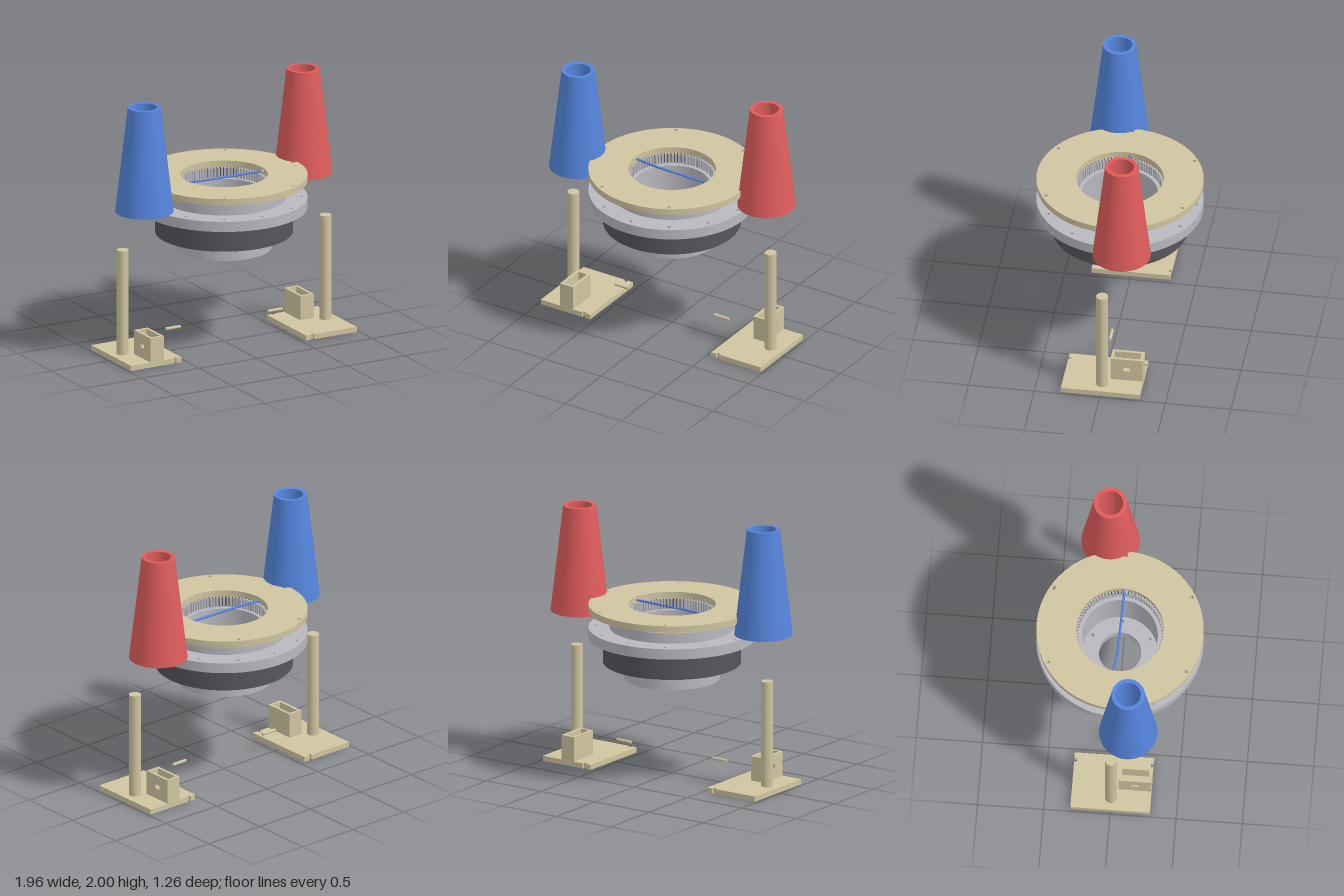
import * as THREE from 'three';
import { toCreasedNormals } from 'three/addons/utils/BufferGeometryUtils.js';

const material = (name, color, extra = {}) => {
  const m = new THREE.MeshStandardMaterial({ color, ...extra });
  m.name = name;
  return m;
};

export function createModel() {
  const beige = material('beige', 0xd0c5a0);
  const grey = material('grey', 0xb9b8be);
  const charcoal = material('charcoal', 0x55555b, { side: THREE.DoubleSide });
  const blue = material('blue', 0x5585dd);
  const red = material('red', 0xe05c5c);

  const model = new THREE.Group();
  const add = (parent, name, geometry, mat, x = 0, y = 0, z = 0) => {
    const mesh = new THREE.Mesh(geometry, mat);
    mesh.name = name;
    mesh.position.set(x, y, z);
    parent.add(mesh);
    return mesh;
  };
  const box = (parent, name, mat, x0, x1, y0, y1, z0, z1) =>
    add(parent, name, new THREE.BoxGeometry(x1 - x0, y1 - y0, z1 - z0), mat,
      (x0 + x1) / 2, (y0 + y1) / 2, (z0 + z1) / 2);

  // Flat ring with an optional circle of screw holes
  const ring = (name, mat, rOut, rIn, y0, y1, holes = 0, holeAt = 0, holeR = 0.013) => {
    const shape = new THREE.Shape().absarc(0, 0, rOut, 0, Math.PI * 2);
    shape.holes.push(new THREE.Path().absarc(0, 0, rIn, 0, Math.PI * 2, true));
    for (let i = 0; i < holes; i++) {
      const a = (i / holes) * Math.PI * 2;
      shape.holes.push(new THREE.Path().absarc(
        Math.cos(a) * holeAt, Math.sin(a) * holeAt, holeR, 0, Math.PI * 2, true));
    }
    const g = new THREE.ExtrudeGeometry(shape, { depth: y1 - y0, bevelEnabled: false, curveSegments: 48 });
    g.rotateX(-Math.PI / 2);
    return add(model, name, toCreasedNormals(g, 0.6), mat, 0, y0, 0);
  };

  // Stacked centre assembly
  ring('topPlate', beige, 0.63, 0.33, 1.27, 1.32, 6, 0.6, 0.015);
  ring('upperCollar', grey, 0.43, 0.34, 1.22, 1.27);
  ring('middleCollar', grey, 0.47, 0.335, 1.14, 1.22);
  ring('flange', grey, 0.63, 0.335, 1.06, 1.14, 12, 0.58);
  ring('darkHousing', charcoal, 0.52, 0.34, 0.87, 1.06, 6, 0.46);
  ring('cylinderWall', grey, 0.34, 0.285, 0.82, 1.19);
  ring('cylinderBase', grey, 0.36, 0.16, 0.745, 0.82, 6, 0.25);

  // Toothed bands: dark recess behind a circle of grey teeth
  const teeth = (name, rIn, rOut, y0, y1, recess) => {
    const group = new THREE.Group();
    group.name = name;
    add(group, 'slotRecess', new THREE.CylinderGeometry(recess, recess, y1 - y0, 64, 1, true),
      charcoal, 0, (y0 + y1) / 2, 0);
    const count = 80;
    const g = new THREE.BoxGeometry(rOut - rIn, y1 - y0, 0.016);
    for (let i = 0; i < count; i++) {
      const a = (i / count) * Math.PI * 2;
      const r = (rIn + rOut) / 2;
      const tooth = add(group, 'tooth', g, grey, Math.cos(a) * r, (y0 + y1) / 2, -Math.sin(a) * r);
      tooth.rotation.y = a;
    }
    model.add(group);
  };
  teeth('lowerTeeth', 0.335, 0.36, 0.82, 0.87, 0.342);
  teeth('upperTeeth', 0.312, 0.338, 1.19, 1.268, 0.333);

  // Hollow tapered spools
  const spool = (name, mat, x, z) => {
    const profile = [[0.095, 1.18], [0.22, 1.18], [0.125, 2], [0.095, 2], [0.095, 1.18]]
      .map(([r, y]) => new THREE.Vector2(r, y));
    add(model, name, toCreasedNormals(new THREE.LatheGeometry(profile, 64), 0.6), mat, x, 0, z);
  };
  spool('blueSpool', blue, -0.76, 0.12);
  spool('redSpool', red, 0.76, -0.13);

  // Threads running from the spools into the centre
  const thread = (name, mat, points) => {
    const curve = new THREE.CatmullRomCurve3(points.map(([x, z]) => new THREE.Vector3(x, 1.293, z)));
    add(model, name, new THREE.TubeGeometry(curve, 40, 0.009, 8), mat);
  };
  thread('blueThread', blue, [[-0.784, 0.146], [-0.695, 0.047], [-0.55, -0.02], [-0.33, -0.025],
    [-0.18, -0.006], [0, 0], [0.33, 0.01]]);
  thread('redThread', red, [[0.784, -0.16], [0.71, -0.05], [0.55, 0.01], [0.335, 0.02]]);
  add(model, 'threadEye', new THREE.SphereGeometry(0.014, 16, 12), grey, 0.324, 1.293, 0.02);

  // Stand: notched foot, post, open bracket and loose pin
  const stand = (name) => {
    const group = new THREE.Group();
    group.name = name;
    const foot = new THREE.Shape([[0.54, -0.3], [0.585, -0.3], [0.585, -0.28], [0.612, -0.28], [0.612, -0.3],
      [0.98, -0.3], [0.98, 0.3], [0.612, 0.3], [0.612, 0.28], [0.585, 0.28], [0.585, 0.3], [0.54, 0.3]]
      .map(([x, y]) => new THREE.Vector2(x, y)));
    const footGeo = new THREE.ExtrudeGeometry(foot, { depth: 0.04, bevelEnabled: false });
    footGeo.rotateX(-Math.PI / 2);
    add(group, 'foot', footGeo, beige);
    add(group, 'post', new THREE.CylinderGeometry(0.045, 0.045, 0.82, 32), beige, 0.88, 0.45, 0);

    // Bracket walls, with a small window in the outer one
    const x0 = 0.692, x1 = 0.81, z0 = -0.298, z1 = -0.052, t = 0.022, top = 0.23;
    box(group, 'bracketInnerWall', beige, x0, x0 + t, 0.04, top, z0, z1);
    box(group, 'bracketBackWall', beige, x0 + t, x1 - t, 0.04, top, z0, z0 + t);
    box(group, 'bracketFrontWall', beige, x0 + t, x1 - t, 0.04, top, z1 - t, z1);
    box(group, 'bracketFloor', beige, x0 + t, x1 - t, 0.04, 0.1, z0 + t, z1 - t);
    const rect = (S, a, b, c, d) => new S(
      [[a, c], [b, c], [b, d], [a, d]].map(([x, y]) => new THREE.Vector2(x, y)));
    const wall = rect(THREE.Shape, -z1, -z0, 0.04, top);
    wall.holes.push(rect(THREE.Path, 0.15, 0.2, 0.122, 0.153));
    const wallGeo = new THREE.ExtrudeGeometry(wall, { depth: t, bevelEnabled: false });
    wallGeo.rotateY(Math.PI / 2);
    add(group, 'bracketOuterWall', wallGeo, beige, x1 - t, 0, 0);

    const pin = add(group, 'pin', new THREE.CylinderGeometry(0.012, 0.012, 0.126, 16), beige, 0.442, 0.175, 0);
    pin.rotation.z = Math.PI / 2;
    model.add(group);
    return group;
  };
  stand('leftStand');
  stand('rightStand').rotation.y = Math.PI;

  return model;
}
